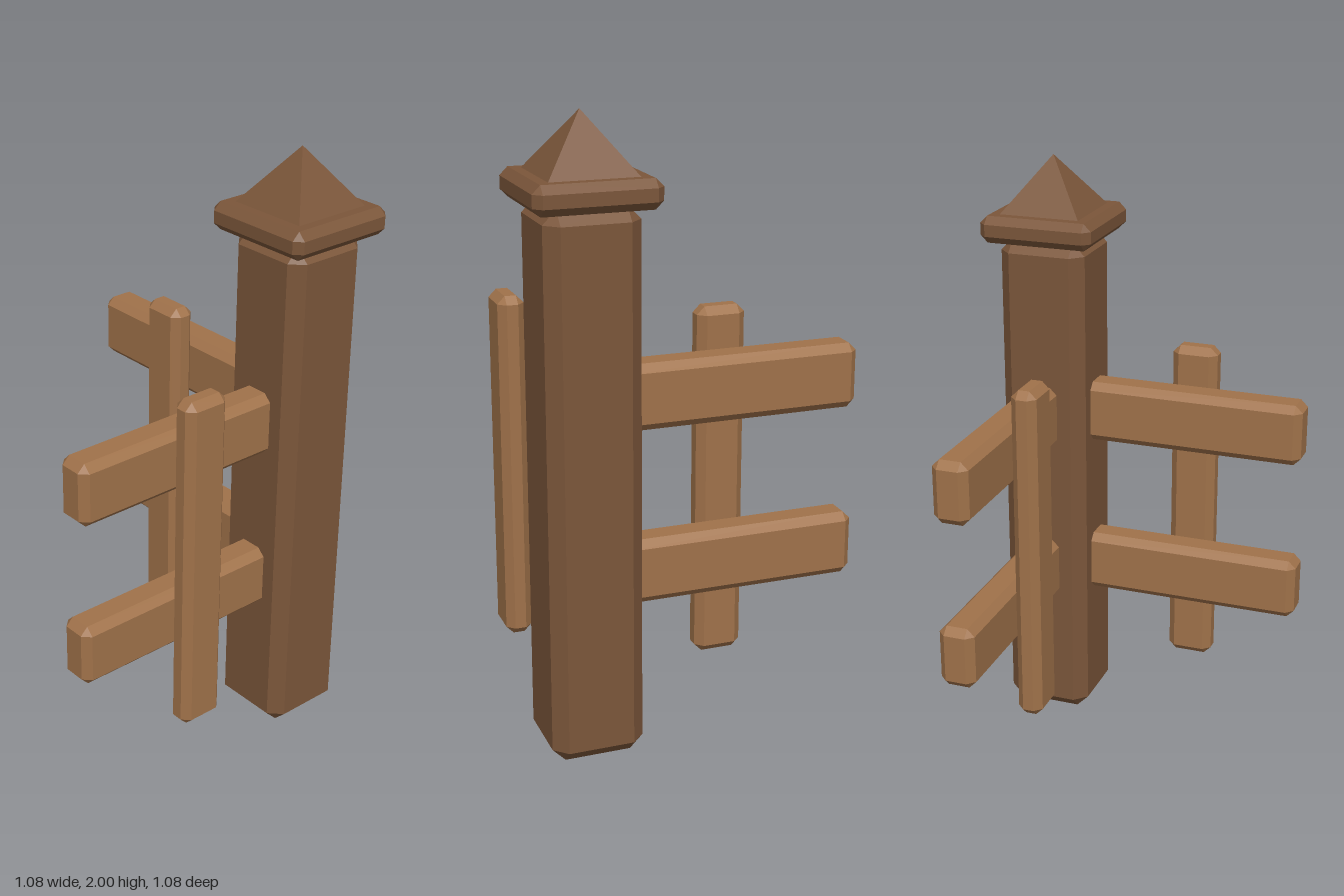
import * as THREE from 'three';
import { ConvexGeometry } from 'three/addons/geometries/ConvexGeometry.js';

const darkWood = new THREE.MeshStandardMaterial({ color: 0x7b563a, flatShading: true });
const lightWood = new THREE.MeshStandardMaterial({ color: 0xa0724a, flatShading: true });

// Box with every edge and corner cut by the bevel b
function bevelBox(w, h, d, b) {
  const points = [];
  for (const x of [-w / 2, w / 2])
    for (const y of [-h / 2, h / 2])
      for (const z of [-d / 2, d / 2]) {
        const inX = x - Math.sign(x) * b, inY = y - Math.sign(y) * b, inZ = z - Math.sign(z) * b;
        points.push(
          new THREE.Vector3(x, inY, inZ),
          new THREE.Vector3(inX, y, inZ),
          new THREE.Vector3(inX, inY, z)
        );
      }
  return new ConvexGeometry(points);
}

function addPart(parent, name, geometry, material, x, y, z) {
  const mesh = new THREE.Mesh(geometry, material);
  mesh.name = name;
  mesh.position.set(x, y, z);
  parent.add(mesh);
  return mesh;
}

// Fence arm running from the post toward -x, picket on its +z face
function makeArm(name) {
  const arm = new THREE.Group();
  arm.name = name;
  const rail = bevelBox(0.835, 0.21, 0.121, 0.025);
  addPart(arm, 'lowerRail', rail, lightWood, -0.4675, 0.57, -0.002);
  addPart(arm, 'upperRail', rail, lightWood, -0.4675, 1.135, -0.002);
  addPart(arm, 'picket', bevelBox(0.157, 1.165, 0.087, 0.025), lightWood, -0.476, 0.7825, 0.1025);
  return arm;
}

export function createModel() {
  const model = new THREE.Group();
  model.name = 'cornerFence';

  // Everything is laid out around the corner post
  const corner = new THREE.Group();
  corner.name = 'corner';
  corner.position.set(0.345, 0, -0.345);
  model.add(corner);

  // Post with cap slab and pyramid tip
  addPart(corner, 'post', bevelBox(0.296, 1.735, 0.296, 0.042), darkWood, 0, 0.8675, 0);
  addPart(corner, 'cap', bevelBox(0.388, 0.09, 0.388, 0.025), darkWood, 0, 1.774, 0);
  const tip = new THREE.ConeGeometry(0.14 * Math.SQRT2, 0.185, 4);
  tip.rotateY(Math.PI / 4);
  addPart(corner, 'pyramidTip', tip, darkWood, 0, 1.9075, 0);

  // Two identical arms at a right angle
  corner.add(makeArm('sideArm'));
  const frontArm = makeArm('frontArm');
  frontArm.rotation.y = Math.PI / 2;
  corner.add(frontArm);

  return model;
}
